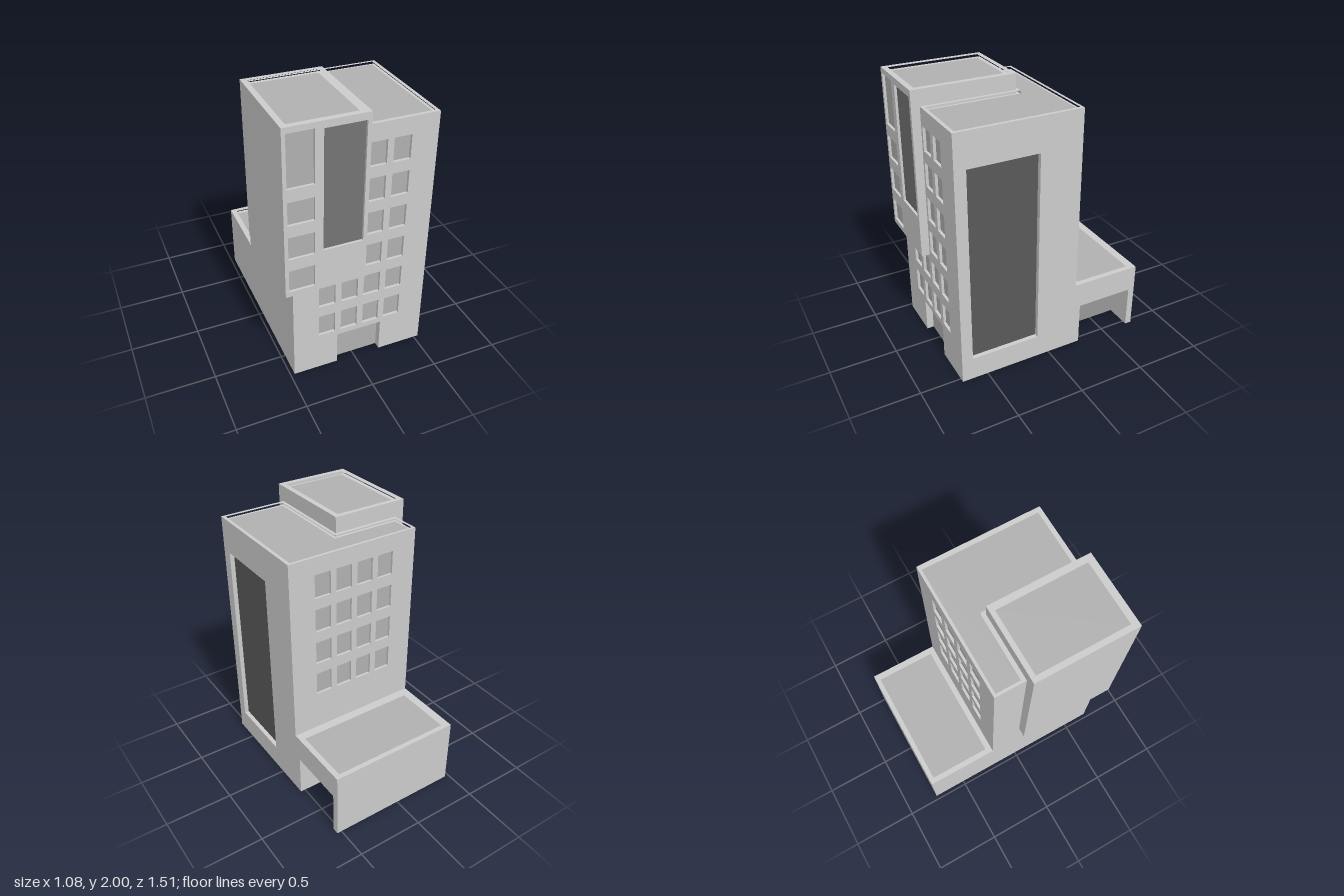
import * as THREE from 'three';

const tone = (color) => new THREE.MeshStandardMaterial({ color });
const WALL = tone(0xcccccc), PANE = tone(0xb0b0b0), DOOR = tone(0x979797);
const GLASS = tone(0x747474), DARK_GLASS = tone(0x595959);

function add(group, name, geometry, material = WALL) {
  const mesh = new THREE.Mesh(geometry, material);
  mesh.name = name;
  group.add(mesh);
}

// Box given by its two limits on each axis
function block(x0, x1, y0, y1, z0, z1) {
  return new THREE.BoxGeometry(x1 - x0, y1 - y0, z1 - z0)
    .translate((x0 + x1) / 2, (y0 + y1) / 2, (z0 + z1) / 2);
}

// Flat slab from an outline and holes, extruded along +z
function slab(outline, holes, depth) {
  const points = (list) => list.map(([u, v]) => new THREE.Vector2(u, v));
  const shape = new THREE.Shape(points(outline));
  for (const hole of holes) shape.holes.push(new THREE.Path(points(hole)));
  return new THREE.ExtrudeGeometry(shape, { depth, bevelEnabled: false });
}

const rect = (u0, u1, v0, v1) => [[u0, v0], [u1, v0], [u1, v1], [u0, v1]];

// Wall outline with a doorway cut up from the ground
const doorway = (u0, u1, top, d0, d1, doorTop) => [
  [u0, 0], [d0, 0], [d0, doorTop], [d1, doorTop], [d1, 0], [u1, 0], [u1, top], [u0, top]];

const zSlab = (outline, holes, depth, z) => slab(outline, holes, depth).translate(0, 0, z);
// Outline in (-z, y), extruded along +x
const xSlab = (outline, holes, depth, x) => slab(outline, holes, depth).rotateY(Math.PI / 2).translate(x, 0, 0);
// Outline in (x, z), extruded upward
const ySlab = (outline, holes, depth, y) => {
  const flip = (list) => list.map(([x, z]) => [x, -z]);
  return slab(flip(outline), holes.map(flip), depth).rotateX(-Math.PI / 2).translate(0, y, 0);
};

// Window cells, as [x0, x1, y0, y1]
const cell = (col, row) => {
  const x = -0.283 + col * 0.168, y = 0.302 + row * 0.257;
  return [x, x + 0.123, y, y + 0.173];
};

function mainBlock() {
  const g = new THREE.Group();
  g.name = 'mainBlock';
  const top = 1.86;
  add(g, 'core', block(-0.47, 0.5, 0, top, -0.2, 0.64));

  // Front wall: two full columns, two short ones below the overhang
  const front = [], back = [];
  for (let col = 0; col < 4; col++) {
    for (let row = 0; row < 6; row++) {
      if (col > 1 || row < 2) front.push(cell(col, row));
      if (row > 1) back.push(cell(col, row));
    }
  }
  add(g, 'frontWall', zSlab(doorway(-0.47, 0.535, top, -0.14, 0.2, 0.26), front.map((c) => rect(...c)), 0.055, 0.64));
  for (const c of front) add(g, 'frontWindow', block(...c, 0.63, 0.675), PANE);
  add(g, 'entrance', block(-0.14, 0.2, 0, 0.26, 0.63, 0.643), PANE);

  add(g, 'backWall', zSlab(rect(-0.47, 0.535, 0, top), back.map((c) => rect(...c)), 0.02, -0.22));
  for (const c of back) add(g, 'backWindow', block(...c, -0.202, -0.19), PANE);

  // Side wall with one tall glazed recess
  add(g, 'sideWall', xSlab(rect(-0.64, 0.2, 0, top), [rect(-0.612, -0.095, 0.175, 1.635)], 0.035, 0.5));
  add(g, 'sideGlazing', block(0.49, 0.502, 0.175, 1.635, 0.095, 0.612), DARK_GLASS);

  // L-shaped parapet and roof around the overhanging tower
  const inner = [[-0.45, -0.2], [0.51, -0.2], [0.51, 0.67], [0.055, 0.67], [0.055, -0.02], [-0.45, -0.02]];
  const outer = [[-0.47, -0.22], [0.535, -0.22], [0.535, 0.695], [0.03, 0.695], [0.03, 0.005], [-0.47, 0.005]];
  add(g, 'parapet', ySlab(outer, [inner], 0.025, top));
  add(g, 'roof', ySlab(inner, [], 0.003, top), PANE);
  return g;
}

function overhangTower() {
  const g = new THREE.Group();
  g.name = 'overhangTower';
  add(g, 'core', block(-0.54, 0.03, 0.78, 1.97, 0.005, 0.735));
  const windows = [[0.819, 0.988], [1.076, 1.245], [1.333, 1.502], [1.592, 1.96]].map((y) => [-0.515, -0.335, ...y]);
  const glazing = [-0.277, 0.002, 1.086, 1.95];
  const holes = [...windows, glazing].map((c) => rect(...c));
  add(g, 'frontWall', zSlab(rect(-0.54, 0.03, 0.78, 2), holes, 0.02, 0.735));
  for (const c of windows) add(g, 'window', block(...c, 0.725, 0.737), PANE);
  add(g, 'tallGlazing', block(...glazing, 0.725, 0.737), GLASS);
  add(g, 'parapet', ySlab(rect(-0.54, 0.03, 0.005, 0.735), [rect(-0.5, -0.01, 0.04, 0.715)], 0.03, 1.97));
  add(g, 'roof', block(-0.5, -0.01, 1.96, 1.973, 0.04, 0.715), PANE);
  return g;
}

function rearAnnex() {
  const g = new THREE.Group();
  g.name = 'rearAnnex';
  add(g, 'core', block(-0.47, 0.335, 0, 0.49, -0.755, -0.22));
  // Deep garage bay, open at the ground
  add(g, 'garageWall', xSlab(doorway(0.22, 0.755, 0.49, 0.265, 0.705, 0.325), [], 0.2, 0.335));
  add(g, 'garageDoor', block(0.325, 0.338, 0, 0.325, -0.705, -0.265), DOOR);
  add(g, 'parapet', ySlab(rect(-0.47, 0.535, -0.755, -0.22), [rect(-0.43, 0.495, -0.72, -0.26)], 0.03, 0.49));
  add(g, 'roof', block(-0.43, 0.495, 0.48, 0.493, -0.72, -0.26), PANE);
  return g;
}

export function createModel() {
  const building = new THREE.Group();
  building.name = 'building';
  building.add(mainBlock(), overhangTower(), rearAnnex());
  return building;
}
